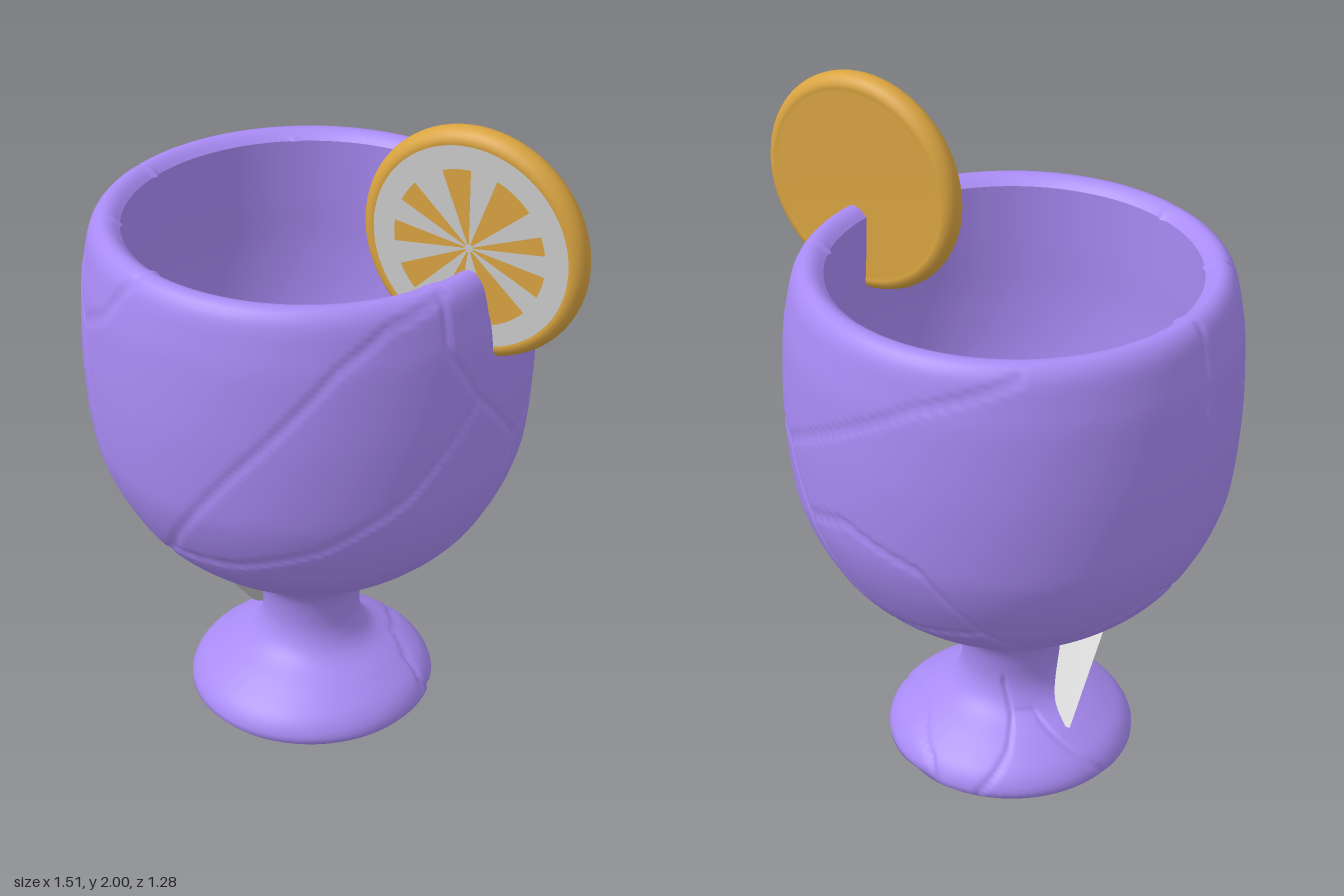
import * as THREE from 'three';
import { mergeVertices } from 'three/addons/utils/BufferGeometryUtils.js';

const CX = -0.118; // axis of the goblet
const mat = (color, side = THREE.FrontSide) => new THREE.MeshStandardMaterial({ color, side });

function add(parent, name, geometry, material, x = 0, y = 0, z = 0) {
  const mesh = new THREE.Mesh(geometry, material);
  mesh.name = name;
  mesh.position.set(x, y, z);
  parent.add(mesh);
  return mesh;
}

// Smooth profile through a few [radius, height] points
function profile(points, samples) {
  const curve = new THREE.SplineCurve(points.map(p => new THREE.Vector2(...p)));
  curve.arcLengthDivisions = 600;
  return curve.getSpacedPoints(samples);
}

// Cracks as polylines of [angle in degrees from the front, height]
const outerCracks = [
  [[-56, 1.6], [-55, 1.5], [-44, 1.36], [-30, 1.45], [-19, 1.6]],
  [[-44, 1.36], [-37, 1], [-29, 0.64]],
  [[-29, 0.64], [-13, 0.78], [11, 1.12], [37, 1.45], [50, 1.55], [68, 1.6]],
  [[-16, 0.75], [10, 0.79], [33, 0.88], [55, 1.03], [76, 1.27]],
  [[-29, 0.64], [20, 0.53], [56, 0.49]],
  [[-29, 0.64], [-60, 0.62], [-102, 0.8]],
  [[66, 1.6], [66, 1.45], [76, 1.27], [94, 1.06], [127, 1.18], [126, 1.4], [113, 1.6]],
  [[94, 1.06], [85, 0.85], [70, 0.65], [56, 0.5], [125, 0.37], [135, 0.5], [166, 0.66], [151, 0.98],
    [141, 1.16], [127, 1.18]],
  [[141, 1.16], [189, 1.47], [215, 1.58]],
  [[151, 0.98], [168, 1.05], [190, 0.98], [205, 0.75], [166, 0.66]],
  [[268, 1.6], [265, 1.2], [258, 0.8], [218, 0.62], [205, 0.75]],
  // foot chips
  [[97, 0.08], [105, 0.14], [125, 0.17], [150, 0.15], [172, 0.1], [178, 0.05], [150, 0.03], [110, 0.04], [97, 0.08]],
  [[198, 0.05], [212, 0.15], [215, 0.21], [205, 0.3]],
  [[215, 0.21], [235, 0.21], [262, 0.05]],
];
const innerCracks = [
  [[175, 1.5], [172, 0.8], [150, 0.55]],
  [[57, 0.62], [15, 0.66], [-27, 0.75], [-55, 0.82], [-84, 1.05]],
  [[57, 0.62], [150, 0.55]],
  [[57, 0.62], [75, 0.85]],
  [[-27, 0.75], [-35, 0.63], [-45, 0.55]],
];

// Distance from a surface point to the closest crack
function crackDistance(angle, y, r, cracks) {
  let best = 1;
  for (const line of cracks) for (let i = 1; i < line.length; i++) {
    const [a0, y0] = line[i - 1], [a1, y1] = line[i];
    const wrap = ((angle - a0 + 540) % 360 + 360) % 360 - 180;
    const k = r * Math.PI / 180;
    const px = wrap * k, py = y - y0, sx = (a1 - a0) * k, sy = y1 - y0;
    const t = THREE.MathUtils.clamp((px * sx + py * sy) / (sx * sx + sy * sy), 0, 1);
    best = Math.min(best, Math.hypot(px - t * sx, py - t * sy));
  }
  return best;
}

// Lathe with V-shaped grooves pressed along the cracks
function crackedLathe(points, segments, cracks, depth) {
  let g = new THREE.LatheGeometry(points, segments);
  g.deleteAttribute('uv');
  g.deleteAttribute('normal');
  g = mergeVertices(g, 1e-5);
  const p = g.attributes.position;
  for (let i = 0; i < p.count; i++) {
    const x = p.getX(i), y = p.getY(i), z = p.getZ(i), r = Math.hypot(x, z);
    const d = crackDistance(Math.atan2(x, z) * 180 / Math.PI, y, r, cracks);
    const s = 1 - depth * Math.max(0, 1 - d / 0.013) / r;
    p.setXYZ(i, x * s, y, z * s);
  }
  g.computeVertexNormals();
  return g;
}

export function createModel() {
  const model = new THREE.Group();
  const purple = mat(0xa98bf5), orange = mat(0xd9a441), grey = mat(0xcccccc, THREE.DoubleSide);

  // Goblet: foot, stem, outside of the bowl and rounded rim
  const goblet = new THREE.Group();
  goblet.name = 'goblet';
  goblet.position.x = CX;
  model.add(goblet);
  const outer = profile([
    [0.3, 0.005], [0.335, 0.02], [0.367, 0.05], [0.342, 0.105], [0.27, 0.16], [0.19, 0.21], [0.155, 0.26],
    [0.145, 0.32], [0.157, 0.4], [0.19, 0.45], [0.25, 0.5], [0.39, 0.595], [0.495, 0.695], [0.56, 0.8],
    [0.602, 0.9], [0.624, 1], [0.638, 1.2], [0.632, 1.4], [0.618, 1.5], [0.6, 1.575], [0.57, 1.609],
    [0.54, 1.606], [0.515, 1.585],
  ], 128);
  add(goblet, 'outerShell', crackedLathe(outer, 384, outerCracks, 0.01), purple);

  // Hollow inside, running down into the stem
  const inner = profile([
    [0.515, 1.585], [0.522, 1.4], [0.53, 1.2], [0.515, 1], [0.46, 0.83], [0.38, 0.71], [0.26, 0.61],
    [0.16, 0.54], [0.115, 0.47], [0.1, 0.38], [0.1, 0.3],
  ], 70);
  add(goblet, 'innerShell', crackedLathe(inner, 256, innerCracks, -0.009), purple);
  const disc = new THREE.CircleGeometry(1, 96);
  const floor = add(goblet, 'cupFloor', disc, purple, 0, 0.3, 0);
  floor.scale.setScalar(0.1);
  floor.rotation.x = -Math.PI / 2;
  const base = add(goblet, 'footBase', disc, purple, 0, 0.005, 0);
  base.scale.setScalar(0.3);
  base.rotation.x = Math.PI / 2;

  // Thin slanted strip between the foot and the underside of the bowl
  const rise = 0.43, lean = 0.37;
  const strip = add(model, 'slantedStrip', new THREE.PlaneGeometry(0.13, Math.hypot(rise, lean)), grey,
    -0.297, 0.385, 0.112);
  strip.rotation.set(Math.atan2(lean, rise), 0, -0.04);

  // Citrus slice standing across the rim
  const slice = new THREE.Group();
  slice.name = 'citrusSlice';
  slice.position.set(0.427, 1.675, 0.06);
  model.add(slice);
  const edge = [[0, -0.036], [0.275, -0.036]];
  for (let i = 0; i <= 12; i++) {
    const a = -Math.PI / 2 + Math.PI * i / 12;
    edge.push([0.287 + 0.038 * Math.cos(a), 0.04 * Math.sin(a)]);
  }
  edge.push([0.275, 0.036], [0, 0.036]);
  const rind = add(slice, 'rind', new THREE.LatheGeometry(edge.map(p => new THREE.Vector2(...p)), 72), orange);
  rind.rotation.x = Math.PI / 2;
  add(slice, 'pith', new THREE.CircleGeometry(0.285, 72), grey, 0, 0, 0.039);

  // Pulp wedges fanned around the centre, [start, end] in degrees
  const wedges = [[8, 22], [40, 70], [90, 112], [137, 155], [172, 188], [205, 225], [245, 262], [290, 318], [335, 352]];
  for (const [a, b] of wedges) {
    const rad = Math.PI / 180;
    add(slice, 'pulpWedge', new THREE.RingGeometry(0.012, 0.22, 10, 1, a * rad, (b - a) * rad), orange, 0, 0, 0.042);
  }
  return model;
}
